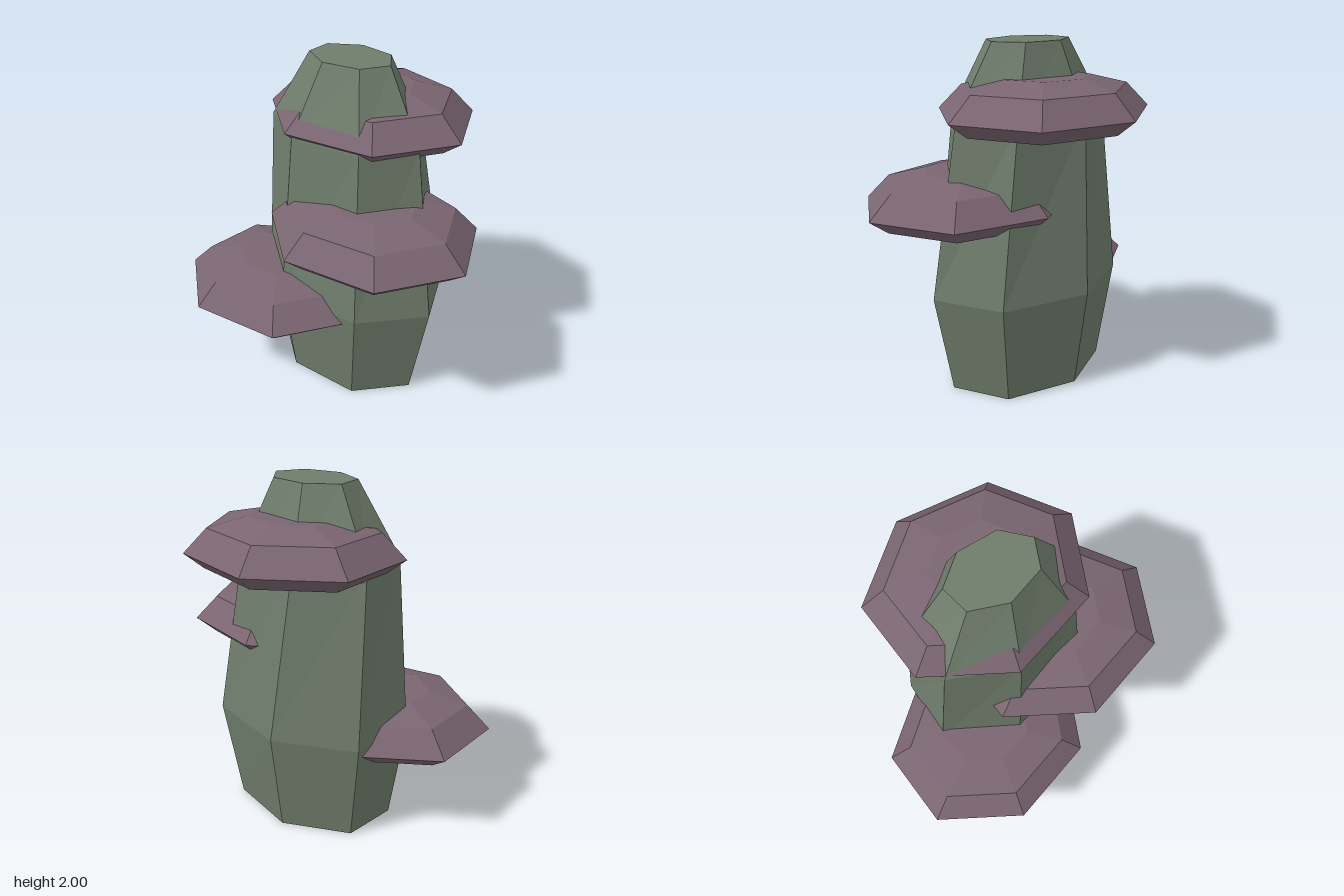
import * as THREE from 'three';

const SIDES = 7;

// Closed flat-shaded loft through oval rings: [y, centreX, centreZ, radiusX, radiusZ, twistDegrees]
function loft(name, rings, color) {
  const pos = [], index = [];
  for (const [y, cx, cz, rx, rz, twist] of rings) {
    for (let i = 0; i < SIDES; i++) {
      const a = THREE.MathUtils.degToRad(twist) + (i / SIDES) * Math.PI * 2;
      pos.push(cx + rx * Math.cos(a), y, cz + rz * Math.sin(a));
    }
  }
  const last = (rings.length - 1) * SIDES;
  for (let i = 0; i < SIDES; i++) {
    const j = (i + 1) % SIDES;
    for (let r = 0; r < last; r += SIDES) {
      index.push(r + i, r + SIDES + i, r + j, r + j, r + SIDES + i, r + SIDES + j);
    }
    // End faces as fans
    if (i > 0 && i < SIDES - 1) index.push(0, i, j, last, last + j, last + i);
  }
  let geo = new THREE.BufferGeometry();
  geo.setAttribute('position', new THREE.Float32BufferAttribute(pos, 3));
  geo.setIndex(index);
  geo = geo.toNonIndexed();
  geo.computeVertexNormals();
  const mesh = new THREE.Mesh(geo, new THREE.MeshStandardMaterial({ color, flatShading: true }));
  mesh.name = name;
  return mesh;
}

// Shelf fungus: undercut base, wide rim, domed top
function shelf(name, x, y, z) {
  const profile = [[-0.085, 0.82], [0, 1], [0.135, 0.78], [0.19, 0.42]];
  const rings = profile.map(([dy, s]) => [y + dy, x, z, 0.64 * s, 0.56 * s, 0]);
  return loft(name, rings, 0x7a6571);
}

export function createModel() {
  const group = new THREE.Group();
  group.name = 'stumpWithShelfFungi';

  // Swollen trunk that tapers sharply to a cut top
  group.add(loft('trunk', [
    [0, -0.03, -0.075, 0.52, 0.38, 4],
    [0.6, -0.016, -0.08, 0.628, 0.46, 4],
    [1.6, -0.05, -0.065, 0.505, 0.357, -2],
    [2, -0.04, -0.08, 0.265, 0.19, -5],
  ], 0x6f7d6c));

  // Three shelves stepping up around the trunk
  group.add(shelf('lowerShelf', -0.35, 0.55, 0.23));
  group.add(shelf('middleShelf', 0.275, 1.09, 0.08));
  group.add(shelf('upperShelf', -0.03, 1.625, -0.235));
  return group;
}
